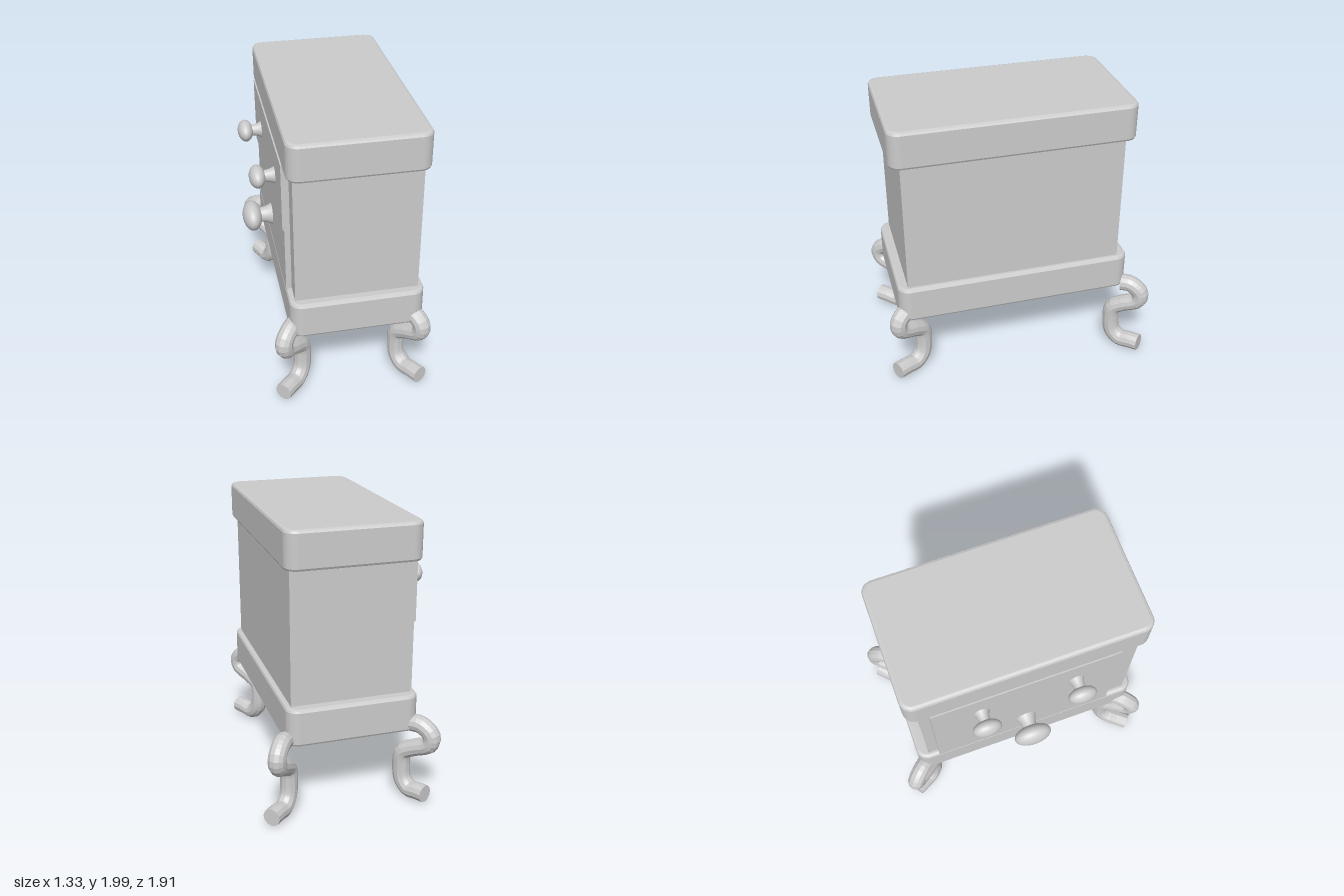
import * as THREE from 'three';

const smooth = new THREE.MeshStandardMaterial({ color: 0xcccccc });
const faceted = new THREE.MeshStandardMaterial({ color: 0xcccccc, flatShading: true });

const CX = 0.02, CZ = 0.03; // cabinet centre

function add(parent, name, geometry, material = smooth) {
  const mesh = new THREE.Mesh(geometry, material);
  mesh.name = name;
  parent.add(mesh);
  return mesh;
}

function box(parent, name, x0, x1, y0, y1, z0, z1) {
  const mesh = add(parent, name, new THREE.BoxGeometry(x1 - x0, y1 - y0, z1 - z0));
  mesh.position.set((x0 + x1) / 2, (y0 + y1) / 2, (z0 + z1) / 2);
  return mesh;
}

// Horizontal slab with rounded corners and softened rims
function slab(parent, name, y0, y1) {
  const bevel = 0.025, w = 0.465 - bevel, d = 0.845 - bevel, r = 0.06;
  const s = new THREE.Shape();
  s.moveTo(-w + r, -d);
  s.lineTo(w - r, -d);
  s.absarc(w - r, -d + r, r, -Math.PI / 2, 0);
  s.lineTo(w, d - r);
  s.absarc(w - r, d - r, r, 0, Math.PI / 2);
  s.lineTo(-w + r, d);
  s.absarc(-w + r, d - r, r, Math.PI / 2, Math.PI);
  s.lineTo(-w, -d + r);
  s.absarc(-w + r, -d + r, r, Math.PI, Math.PI * 1.5);
  const geo = new THREE.ExtrudeGeometry(s, {
    depth: y1 - y0 - 0.04, curveSegments: 4,
    bevelThickness: 0.02, bevelSize: bevel, bevelSegments: 2,
  });
  geo.rotateX(-Math.PI / 2);
  add(parent, name, geo).position.set(CX, y0 + 0.02, CZ);
}

// Oval knob on a flared stem, pointing towards -x
function knob(parent, name, x, y, z, rx, ry, rz, faceX) {
  const g = new THREE.Group();
  g.name = name;
  const head = add(g, 'knobHead', new THREE.SphereGeometry(1, 32, 20));
  head.scale.set(rx, ry, rz);
  const len = faceX - x;
  const profile = [[0.82, 0], [0.62, 0.3], [0.54, 0.6], [0.52, 1]]
    .map(([r, t]) => new THREE.Vector2(r, t * len));
  const stem = new THREE.LatheGeometry(profile, 24);
  stem.rotateZ(Math.PI / 2); // axis now runs towards -x
  stem.scale(1, ry, rz * 0.68);
  add(g, 'knobStem', stem).position.x = len;
  g.position.set(x, y, z);
  parent.add(g);
}

// S-shaped leg: s = shaft, k = knee, f = foot end, each as [x, z]
function leg(parent, name, s, k, f) {
  const at = (target, t, y) => new THREE.Vector3(
    s[0] + (target[0] - s[0]) * t, y, s[1] + (target[1] - s[1]) * t);
  const path = new THREE.CatmullRomCurve3([
    at(k, 0.3, 0.58), at(k, 0.62, 0.58), at(k, 0.97, 0.52), at(k, 0.93, 0.45),
    at(k, 0.4, 0.39), at(f, 0.06, 0.34), at(f, 0, 0.24), at(f, 0.08, 0.13),
    at(f, 0.36, 0.072), at(f, 0.75, 0.078), at(f, 1.06, 0.08),
  ]);
  const g = new THREE.Group();
  g.name = name;
  const steps = 36, sides = 12;
  const geo = new THREE.TubeGeometry(path, steps, 0.062, sides);
  add(g, 'legTube', geo, faceted);
  // flat ends
  for (const t of [0, 1]) {
    const cap = add(g, t ? 'footEnd' : 'legTopEnd', new THREE.CircleGeometry(0.062, sides), faceted);
    const p = path.getPointAt(t);
    cap.position.copy(p);
    cap.lookAt(p.clone().addScaledVector(path.getTangentAt(t), t ? 1 : -1));
  }
  parent.add(g);
}

export function createModel() {
  const model = new THREE.Group();
  model.name = 'nightstand';

  // Cabinet
  box(model, 'cabinetBody', -0.405, 0.445, 0.7, 1.8, -0.735, 0.805);
  slab(model, 'tabletop', 1.735, 2.0);
  slab(model, 'base', 0.53, 0.797);

  // Drawers on the -x side
  box(model, 'upperDrawer', -0.455, -0.39, 1.275, 1.76, -0.66, 0.66);
  box(model, 'lowerDrawer', -0.443, -0.39, 0.785, 1.275, -0.66, 0.66);
  for (const z of [-0.32, 0.355]) {
    knob(model, 'upperKnob', -0.57, 1.52, z, 0.055, 0.073, 0.1, -0.452);
  }
  knob(model, 'lowerKnob', -0.585, 0.998, 0.012, 0.07, 0.098, 0.137, -0.44);

  // Legs, each splayed out from its corner
  leg(model, 'frontLeftLeg', [0.335, 0.7], [0.465, 0.895], [0.455, 0.91]);
  leg(model, 'backLeftLeg', [0.46, -0.72], [0.585, -0.89], [0.62, -0.88]);
  leg(model, 'backRightLeg', [-0.36, -0.72], [-0.51, -0.895], [-0.46, -0.9]);
  leg(model, 'frontRightLeg', [-0.35, 0.71], [-0.505, 0.89], [-0.51, 0.89]);

  return model;
}
